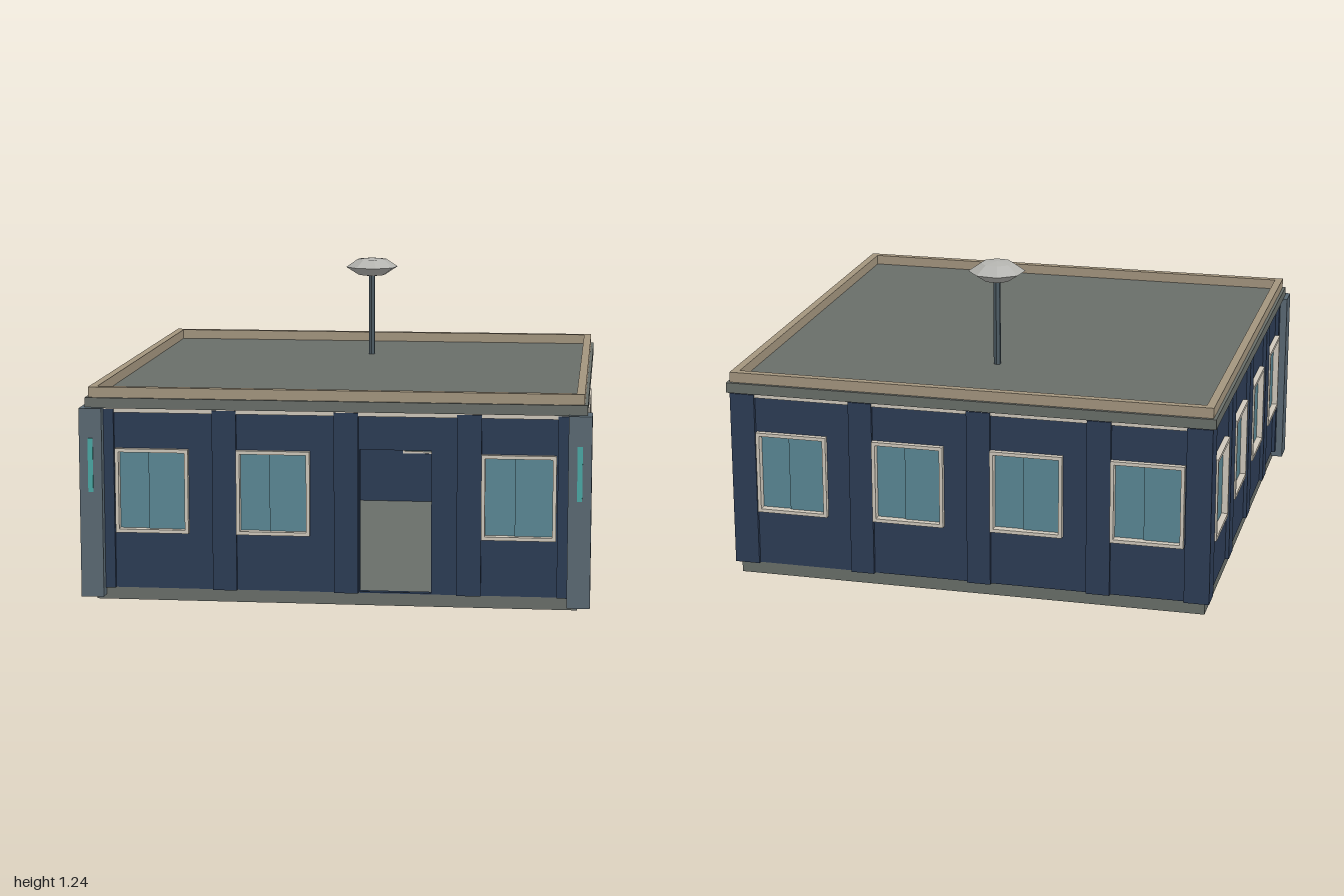
import * as THREE from 'three';

const mat = (color) => new THREE.MeshStandardMaterial({ color, flatShading: true });
const M = {
  navy: mat(0x2c3c55), grey: mat(0x696e69), beige: mat(0xa3957e), frame: mat(0xcfc8bb),
  glass: mat(0x5a8794), steel: mat(0x5a6973), teal: mat(0x4aa8a4), dish: mat(0xb4b4b0), dark: mat(0x4c5a62),
};

// Box given by its min and max corners
function box(parent, name, m, x0, x1, y0, y1, z0, z1) {
  const mesh = new THREE.Mesh(new THREE.BoxGeometry(x1 - x0, y1 - y0, z1 - z0), m);
  mesh.position.set((x0 + x1) / 2, (y0 + y1) / 2, (z0 + z1) / 2);
  mesh.name = name;
  parent.add(mesh);
  return mesh;
}

function rect(P, x0, x1, y0, y1) {
  const p = new P();
  p.moveTo(x0, y0); p.lineTo(x1, y0); p.lineTo(x1, y1); p.lineTo(x0, y1); p.closePath();
  return p;
}

// Frame with two overlapping sliding panes
function createWindow(cx) {
  const g = new THREE.Group();
  g.name = 'window';
  const w = 0.145, y0 = 0.275, y1 = 0.61, t = 0.014;
  const s = rect(THREE.Shape, -w, w, y0, y1);
  s.holes.push(rect(THREE.Path, -w + t, w - t, y0 + t, y1 - t));
  const frame = new THREE.Mesh(new THREE.ExtrudeGeometry(s, { depth: 0.045, bevelEnabled: false }), M.frame);
  frame.position.z = 0.932;
  frame.name = 'windowFrame';
  g.add(frame);
  box(g, 'leftPane', M.glass, -w + t, 0.015, y0 + t, y1 - t, 0.938, 0.944);
  box(g, 'rightPane', M.glass, -0.015, w - t, y0 + t, y1 - t, 0.946, 0.952);
  g.position.x = cx;
  return g;
}

// One wall facing +z: pierced sheet, ribs, trims and windows
function createWall(name, hasDoor) {
  const g = new THREE.Group();
  g.name = name;
  const half = 0.955, sheet = rect(THREE.Shape, -half, half, 0.05, 0.77);
  for (let i = 0; i < 4; i++) {
    const cx = -0.72 + 0.48 * i;
    if (hasDoor && i === 2) {
      sheet.holes.push(rect(THREE.Path, cx - 0.14, cx + 0.14, 0.055, 0.62));
    } else {
      sheet.holes.push(rect(THREE.Path, cx - 0.14, cx + 0.14, 0.28, 0.605));
      g.add(createWindow(cx));
    }
    if (i < 3) box(g, 'rib', M.navy, cx + 0.24, cx + 0.335, 0.05, 0.765, 0.95, 0.97);
  }
  for (const s of [-1, 1]) box(g, 'endRib', M.navy, s * 0.92 - 0.05, s * 0.92 + 0.05, 0.05, 0.765, 0.945, 0.97);
  const skin = new THREE.Mesh(new THREE.ExtrudeGeometry(sheet, { depth: 0.025, bevelEnabled: false }), M.navy);
  skin.position.z = 0.93;
  skin.name = 'wallSheet';
  g.add(skin);
  box(g, 'topTrim', M.frame, -half, half, 0.752, 0.768, 0.95, 0.965);
  return g;
}

export function createModel() {
  const root = new THREE.Group();
  root.name = 'modularBuilding';
  const body = new THREE.Group();
  body.name = 'body';
  body.position.z = -0.0175;
  root.add(body);

  // Base, walls and roof
  box(body, 'base', M.grey, -0.95, 0.95, 0, 0.052, -0.95, 0.95);
  ['frontWall', 'leftWall', 'backWall', 'rightWall'].forEach((name, i) => {
    const wall = createWall(name, i === 0);
    wall.rotation.y = i * Math.PI / 2;
    body.add(wall);
  });
  box(body, 'roofSlab', M.grey, -0.982, 0.982, 0.769, 0.81, -0.976, 0.974);

  // Parapet around the roof edge
  const ring = rect(THREE.Shape, -0.97, 0.97, -0.963, 0.963);
  ring.holes.push(rect(THREE.Path, -0.938, 0.938, -0.931, 0.931));
  const parapet = new THREE.Mesh(new THREE.ExtrudeGeometry(ring, { depth: 0.045, bevelEnabled: false }), M.beige);
  parapet.rotation.x = -Math.PI / 2;
  parapet.position.y = 0.806;
  parapet.name = 'parapet';
  body.add(parapet);

  // Front corner pillars with light strips
  for (const s of [-1, 1]) {
    const pillar = new THREE.Group();
    pillar.name = s > 0 ? 'leftPillar' : 'rightPillar';
    pillar.position.x = s * 0.955;
    box(pillar, 'pillarPost', M.steel, -0.045, 0.045, 0.02, 0.772, 0.885, 0.99);
    box(pillar, 'lightStrip', M.teal, -0.01, 0.01, 0.442, 0.655, 0.985, 0.994);
    root.add(pillar);
  }

  // Mast and faceted dish on the roof
  const mast = new THREE.Mesh(new THREE.CylinderGeometry(0.015, 0.015, 0.36, 6), M.dark);
  mast.position.set(0, 0.985, -0.49);
  mast.name = 'mast';
  root.add(mast);
  const profile = [[0, 1.157], [0.06, 1.165], [0.115, 1.2], [0.065, 1.234], [0, 1.24]];
  const dish = new THREE.Mesh(
    new THREE.LatheGeometry(profile.map(([r, y]) => new THREE.Vector2(r, y)), 8), M.dish);
  dish.position.z = -0.49;
  dish.rotation.y = 0.25;
  dish.name = 'dish';
  root.add(dish);

  return root;
}
